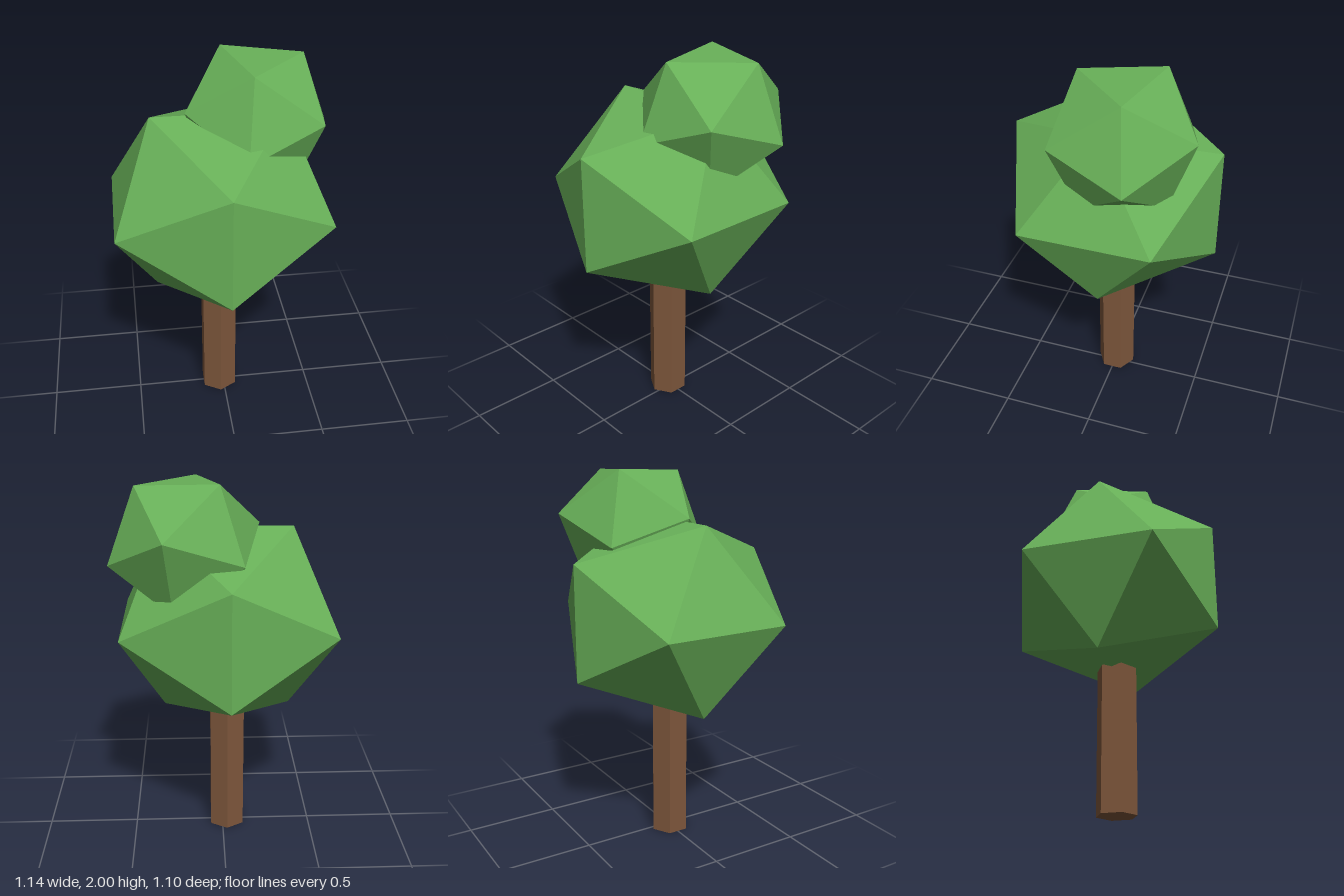
import * as THREE from 'three';
import { ConvexGeometry } from 'three/addons/geometries/ConvexGeometry.js';

export function createModel() {
  const model = new THREE.Group();
  model.name = 'tree';

  const leafGreen = new THREE.MeshStandardMaterial({ color: 0x68b058, flatShading: true });
  leafGreen.name = 'leafGreen';
  const barkBrown = new THREE.MeshStandardMaterial({ color: 0x7d563b, flatShading: true });
  barkBrown.name = 'barkBrown';

  const addPart = (name, geometry, material, x, y, z) => {
    const mesh = new THREE.Mesh(geometry, material);
    mesh.name = name;
    mesh.position.set(x, y, z);
    model.add(mesh);
    return mesh;
  };

  // Six-sided trunk
  const trunkHeight = 0.77;
  addPart('trunk', new THREE.CylinderGeometry(0.106, 0.106, trunkHeight, 6), barkBrown,
    -0.025, trunkHeight / 2, 0);

  // Main foliage: slightly squashed icosahedron
  addPart('lowerFoliage', new THREE.IcosahedronGeometry(0.646, 0), leafGreen, -0.025, 1.25, 0)
    .scale.y = 0.9;

  // Small foliage: tilted, squashed icosahedron; six corners mirrored through its centre
  const corners = [
    [-0.17, 0.32, -0.168],
    [-0.06, 0.3, 0.243],
    [0.24, 0.3, -0.067],
    [0.1, 0.09, -0.383],
    [-0.38, 0.08, 0.113],
    [0.285, 0.05, 0.278],
  ].map((p) => new THREE.Vector3(...p));
  const points = corners.flatMap((p) => [p, p.clone().negate()]);
  addPart('upperFoliage', new ConvexGeometry(points), leafGreen, 0.19, 1.68, -0.098);

  return model;
}
